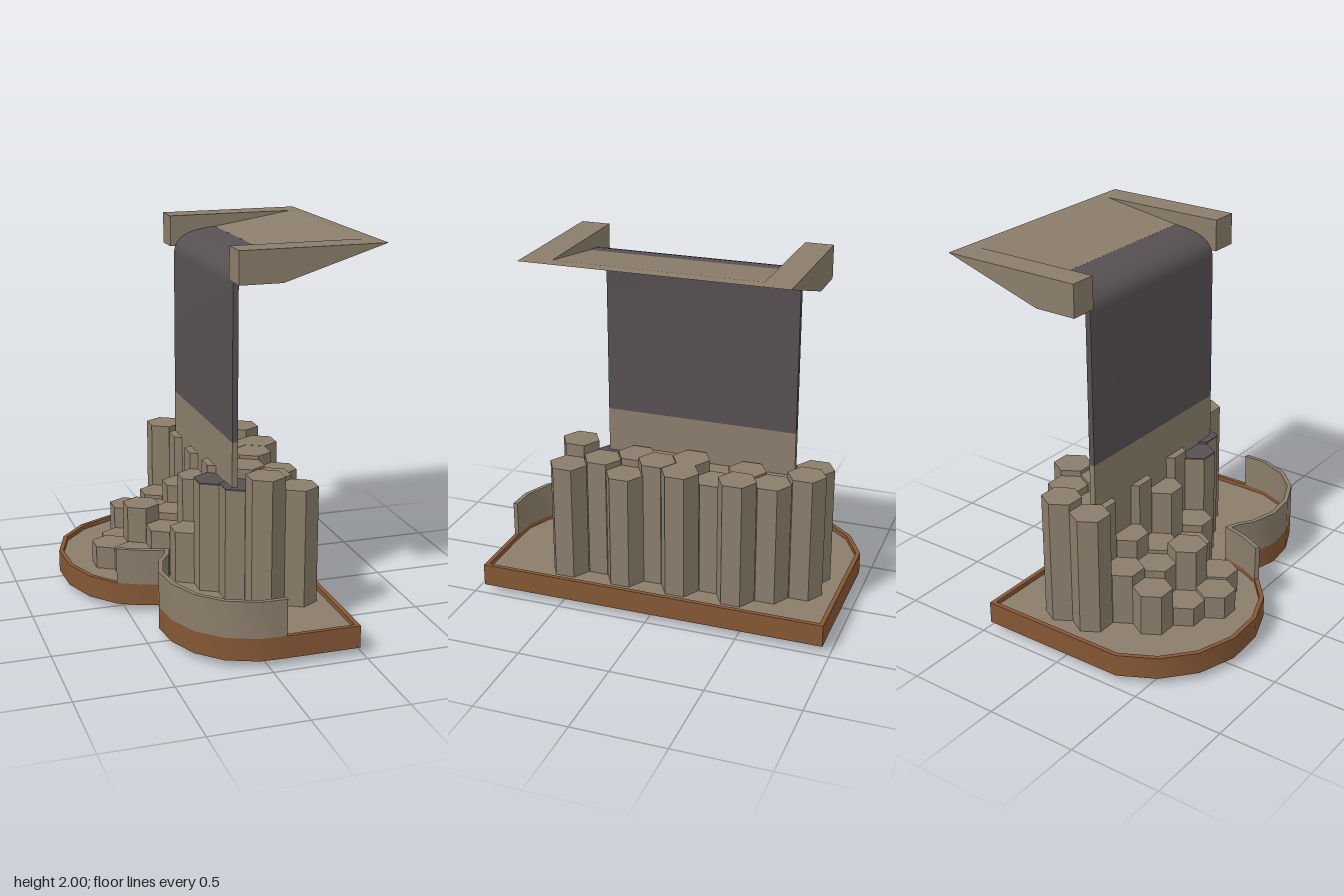
import * as THREE from 'three';
import { toCreasedNormals } from 'three/addons/utils/BufferGeometryUtils.js';

const mat = (name, color) => {
  const m = new THREE.MeshStandardMaterial({ color });
  m.name = name;
  return m;
};

export function createModel() {
  const model = new THREE.Group();
  model.name = 'basaltWaterfall';
  const stone = mat('taupe stone', 0x8b7d6b);
  const rust = mat('rust brown', 0x855735);
  const slate = mat('dark slate', 0x575052);

  const add = (name, geo, material, parent = model) => {
    const mesh = new THREE.Mesh(geo, material);
    mesh.name = name;
    parent.add(mesh);
    return mesh;
  };
  const toShape = (pts) => new THREE.Shape(pts.map(([x, y]) => new THREE.Vector2(x, y)));

  // Plan shape (x, -z) raised from y0 to y1
  const raise = (shape, y0, y1, crease = 0.7) => {
    const g = new THREE.ExtrudeGeometry(shape, { depth: y1 - y0, bevelEnabled: false });
    g.rotateX(-Math.PI / 2).translate(0, y0, 0);
    return toCreasedNormals(g, crease);
  };
  // Side profile (x, y) swept from z0 to z1
  const sweep = (pts, z0, z1, crease = 0.5) => {
    const g = new THREE.ExtrudeGeometry(toShape(pts), { depth: z1 - z0, bevelEnabled: false });
    g.translate(0, 0, z0);
    return toCreasedNormals(g, crease);
  };
  // Moves every corner of a closed outline inward by t
  const inset = (pts, t) => pts.map((p, i) => {
    const a = pts[(i + pts.length - 1) % pts.length], b = pts[(i + 1) % pts.length];
    const normal = (u, v) => {
      const l = Math.hypot(v[0] - u[0], v[1] - u[1]);
      return [-(v[1] - u[1]) / l, (v[0] - u[0]) / l];
    };
    const n = normal(a, p), m = normal(p, b);
    const k = t / (1 + n[0] * m[0] + n[1] * m[1]);
    return [p[0] + (n[0] + m[0]) * k, p[1] + (n[1] + m[1]) * k];
  });

  // Two-lobed basin outline, given as x, z
  const outline = [
    [0.48, -0.96], [-0.35, -0.96], [-0.54, -0.86], [-0.68, -0.7], [-0.75, -0.49],
    [-0.74, -0.27], [-0.67, -0.08], [-0.55, 0.06], [-0.43, 0.12], [-0.31, 0.155],
    [-0.325, 0.2], [-0.38, 0.28], [-0.42, 0.43], [-0.4, 0.6], [-0.33, 0.76],
    [-0.21, 0.88], [-0.05, 0.945], [0.09, 0.95], [0.48, 0.95],
  ].map(([x, z]) => [x, -z]);
  const inner = inset(outline, 0.024);

  const rimShape = toShape(outline);
  rimShape.holes.push(new THREE.Path(inner.map(([x, y]) => new THREE.Vector2(x, y))));
  add('basinRim', raise(rimShape, 0.04, 0.16), rust);
  add('basinFloor', raise(toShape(inner), 0.12, 0.135), stone);

  // Low screen standing on the rim around the small lobe
  const screen = [...outline.slice(7, 18), ...inner.slice(7, 18).reverse()];
  add('curvedScreen', raise(toShape(screen), 0.16, 0.355, 0.75), stone);

  // Hexagonal columns: x, z, top, bottom
  const columns = new THREE.Group();
  columns.name = 'columns';
  model.add(columns);
  const hex = (name, x, z, top, bottom, material) => {
    const g = new THREE.CylinderGeometry(0.104, 0.104, top - bottom, 6).toNonIndexed();
    g.computeVertexNormals();
    add(name, g, material, columns).position.set(x, (top + bottom) / 2, z);
  };
  [
    [0.13, 0.5, 0.84, 0.0], [0.31, 0.5, 0.77, 0.01],
    [0.22, 0.34, 0.79, 0.04],
    [0.13, 0.18, 0.8, 0.03], [0.31, 0.18, 0.76, 0.015],
    [0.04, 0.03, 0.78, 0.05], [0.22, 0.03, 0.82, 0.04],
    [0.13, -0.13, 0.82, 0.03], [0.31, -0.13, 0.82, 0.03],
    [0.04, -0.29, 0.75, 0.04], [0.22, -0.29, 0.76, 0.02],
    [0.13, -0.44, 0.8, 0.05], [0.31, -0.44, 0.82, 0.04],
    [0.04, -0.6, 0.75, 0.05], [0.22, -0.6, 0.79, 0.04],
    [0.13, -0.76, 0.82, 0.04], [-0.05, -0.76, 0.78, 0.05],
    [-0.14, -0.6, 0.42, 0.05], [-0.32, -0.6, 0.36, 0.06],
    [-0.05, -0.44, 0.52, 0.04], [-0.23, -0.44, 0.4, 0.05], [-0.41, -0.44, 0.24, 0.06],
    [-0.14, -0.29, 0.42, 0.04], [-0.32, -0.29, 0.47, 0.05], [-0.5, -0.29, 0.26, 0.06],
    [-0.05, -0.13, 0.66, 0.03], [-0.23, -0.13, 0.38, 0.05], [-0.41, -0.13, 0.27, 0.06],
    [-0.14, 0.03, 0.42, 0.05],
  ].forEach(([x, z, top, bottom]) => hex('column', x, z, top, bottom, stone));
  // Two columns with dark wet tops
  [[-0.05, 0.18, 0.73], [0.04, 0.34, 0.74]].forEach(([x, z, top]) => {
    hex('wetColumn', x, z, top, 0.02, stone);
    hex('wetColumnCap', x, z, top + 0.009, top, slate);
  });

  // Tall sheet: stone foot, dark fall that bends over into the roof
  const [z0, z1] = [-0.665, 0.38];
  add('wallFoot', sweep([[-0.01, 0.13], [0.02, 0.13], [0.02, 0.99], [-0.01, 0.99]], z0, z1), stone);
  const bend = (x0, y0, cy, x1, y1) => new THREE.QuadraticBezierCurve(
    new THREE.Vector2(x0, y0), new THREE.Vector2(x0, cy), new THREE.Vector2(x1, y1),
  ).getPoints(10).map((p) => [p.x, p.y]);
  const fall = [
    [-0.01, 0.99], ...bend(-0.01, 1.79, 1.92, 0.235, 1.93),
    ...bend(0.02, 1.79, 1.89, 0.235, 1.9).reverse(), [0.02, 0.99],
  ];
  add('fallingSheet', sweep(fall, z0, z1), slate);

  // Roof: wedge cheeks at both ends and a sunken sloping panel between
  const cheek = [[-0.03, 1.83], [0.2, 1.83], [0.75, 2], [-0.03, 2]];
  add('roofCheekFront', sweep(cheek, z1, 0.53), stone);
  add('roofCheekBack', sweep(cheek, -0.81, z0), stone);
  add('roofPanel', sweep([[0.23, 1.9], [0.75, 2], [0.68, 2], [0.23, 1.93]], z0, z1, 0.1), stone);

  return model;
}
